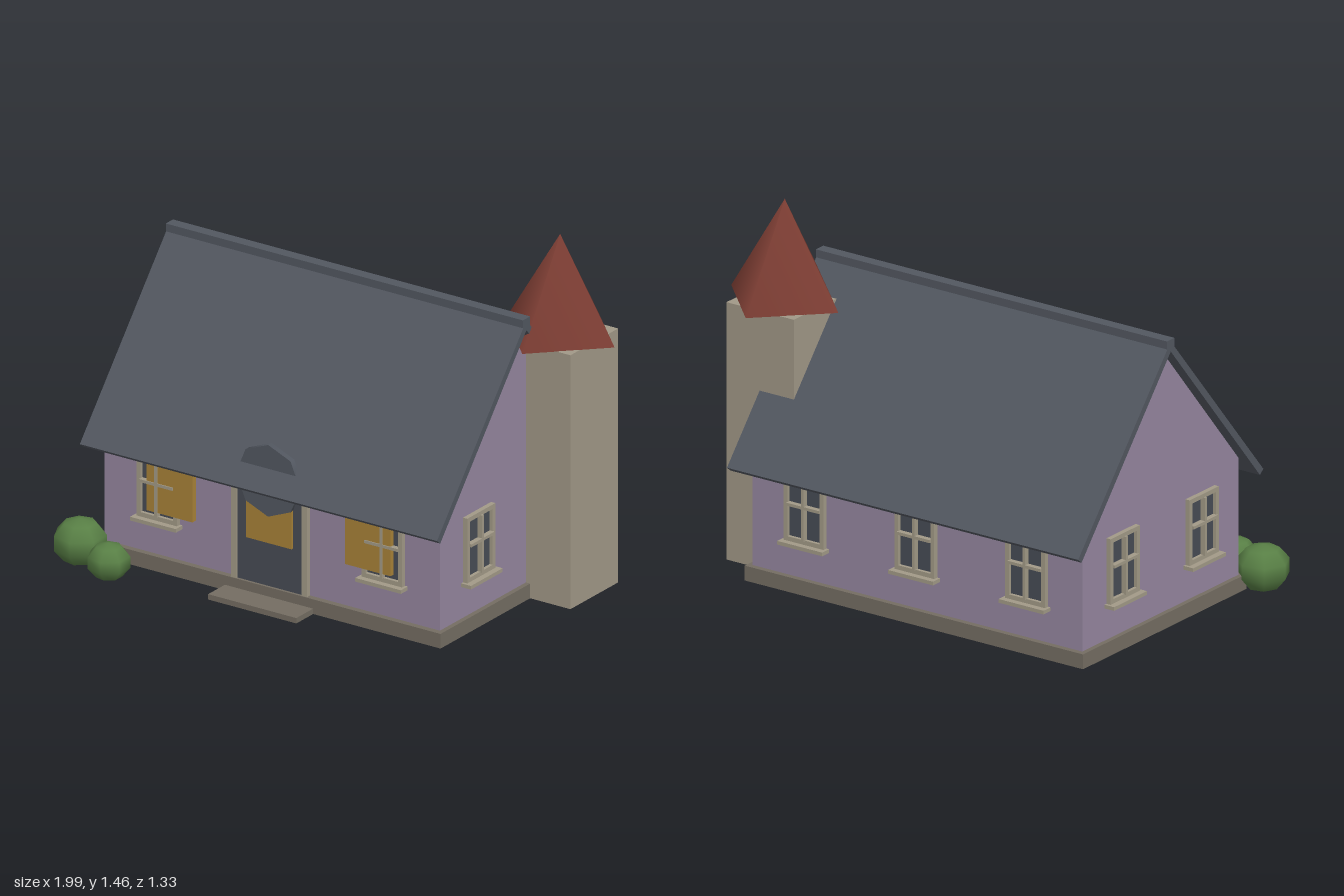
import * as THREE from 'three';

const mat = (name, color) => {
  const m = new THREE.MeshStandardMaterial({ color });
  m.name = name;
  return m;
};

export function createModel() {
  const roofMat = mat('roof slate', 0x525760);
  const wallMat = mat('lilac wall', 0x95869f);
  const towerMat = mat('tower stone', 0xa19887);
  const trimMat = mat('window trim', 0xa29a87);
  const baseMat = mat('foundation stone', 0x746d62);
  const glassMat = mat('dark glass', 0x474c55);
  const amberMat = mat('amber panel', 0xa88238);
  const spireMat = mat('red spire', 0x7c3d33);
  const bushMat = mat('bush green', 0x587f45);

  const house = new THREE.Group();
  house.name = 'house';
  const CX = -0.07, CZ = -0.08;

  const add = (name, geo, material, parent = house) => {
    const m = new THREE.Mesh(geo, material);
    m.name = name;
    parent.add(m);
    return m;
  };
  // Box given by its lower and upper limits
  const box = (name, material, x0, x1, y0, y1, z0, z1, parent = house) => {
    const m = add(name, new THREE.BoxGeometry(x1 - x0, y1 - y0, z1 - z0), material, parent);
    m.position.set((x0 + x1) / 2, (y0 + y1) / 2, (z0 + z1) / 2);
    return m;
  };
  // Profile of (z, y) points extruded along x
  const extrudeX = (name, material, pts, x0, x1) => {
    const shape = new THREE.Shape(pts.map(p => new THREE.Vector2(...p)));
    const geo = new THREE.ExtrudeGeometry(shape, { depth: x1 - x0, bevelEnabled: false });
    geo.rotateY(-Math.PI / 2).translate(x1, 0, CZ);
    return add(name, geo, material);
  };

  // Foundation, step and gabled walls
  box('foundation', baseMat, -0.86, 0.72, 0.02, 0.08, -0.6, 0.445);
  box('doorStep', baseMat, -0.27, 0.135, 0.02, 0.042, 0.4, 0.556);
  extrudeX('walls', wallMat,
    [[-0.497, 0.08], [0.5, 0.08], [0.5, 0.554], [0, 1.149], [-0.497, 0.557]], -0.84, 0.7);

  // Roof slopes and ridge cap
  for (const s of [-1, 1]) {
    extrudeX(s > 0 ? 'frontRoof' : 'backRoof', roofMat,
      [[0, 1.149], [s * 0.57, 0.473], [s * 0.592, 0.491], [0, 1.19]], -0.89, 0.75);
  }
  box('ridgeCap', roofMat, -0.89, 0.75, 1.165, 1.197, CZ - 0.024, CZ + 0.024);

  // Tower with four-sided spire
  box('tower', towerMat, 0.59, 0.905, 0.02, 1.06, -0.463, -0.147);
  add('spire', new THREE.ConeGeometry(0.25, 0.405, 4), spireMat).position.set(0.748, 1.262, -0.305);

  // Windows: local origin at the wall surface, facing +z
  const frameShape = new THREE.Shape()
    .moveTo(-0.093, 0.225).lineTo(0.093, 0.225).lineTo(0.093, 0.49).lineTo(-0.093, 0.49).closePath();
  frameShape.holes.push(new THREE.Path()
    .moveTo(-0.075, 0.243).lineTo(-0.075, 0.472).lineTo(0.075, 0.472).lineTo(0.075, 0.243).closePath());
  const frameGeo = new THREE.ExtrudeGeometry(frameShape, { depth: 0.02, bevelEnabled: false });
  const addWindow = (x, z, angle) => {
    const w = new THREE.Group();
    w.name = 'window';
    w.position.set(x, 0, z);
    w.rotation.y = angle;
    house.add(w);
    add('windowFrame', frameGeo, trimMat, w);
    box('glass', glassMat, -0.078, 0.078, 0.24, 0.475, 0, 0.006, w);
    box('verticalBar', trimMat, -0.006, 0.006, 0.24, 0.475, 0.004, 0.028, w);
    box('crossBar', trimMat, -0.077, 0.077, 0.369, 0.381, 0.004, 0.028, w);
    box('sill', trimMat, -0.105, 0.105, 0.21, 0.225, 0, 0.045, w);
  };
  for (const dx of [-0.517, 0, 0.517]) {
    if (dx) addWindow(CX + dx, 0.42, 0);
    addWindow(CX + dx, -0.577, Math.PI);
  }
  addWindow(0.7, 0.175, Math.PI / 2);
  for (const z of [0.175, -0.33]) addWindow(-0.84, z, -Math.PI / 2);

  // Amber panels by the front windows and on the door
  for (const dx of [-0.455, 0, 0.455]) {
    box('amberPanel', amberMat, CX + dx - 0.105, CX + dx + 0.105, 0.26, 0.54, 0.42, 0.444);
  }

  // Door, side posts and eight-sided disc above
  box('door', glassMat, CX - 0.15, CX + 0.15, 0.08, 0.53, 0.41, 0.434);
  for (const s of [-1, 1]) {
    const x = CX + s * 0.162;
    box('doorPost', trimMat, x - 0.012, x + 0.012, 0.08, 0.53, 0.41, 0.442);
  }
  const disc = add('doorDisc', new THREE.CylinderGeometry(0.147, 0.147, 0.024, 8), roofMat);
  disc.rotation.x = Math.PI / 2;
  disc.position.set(CX, 0.517, 0.436);

  // Bushes at the front corner
  for (const [x, y, z, r] of [[-0.89, 0.095, 0.51, 0.109], [-0.71, 0.08, 0.58, 0.087]]) {
    const b = add('bush', new THREE.SphereGeometry(r, 7, 5), bushMat);
    b.scale.y = 0.86;
    b.position.set(x, y, z);
  }

  return house;
}
